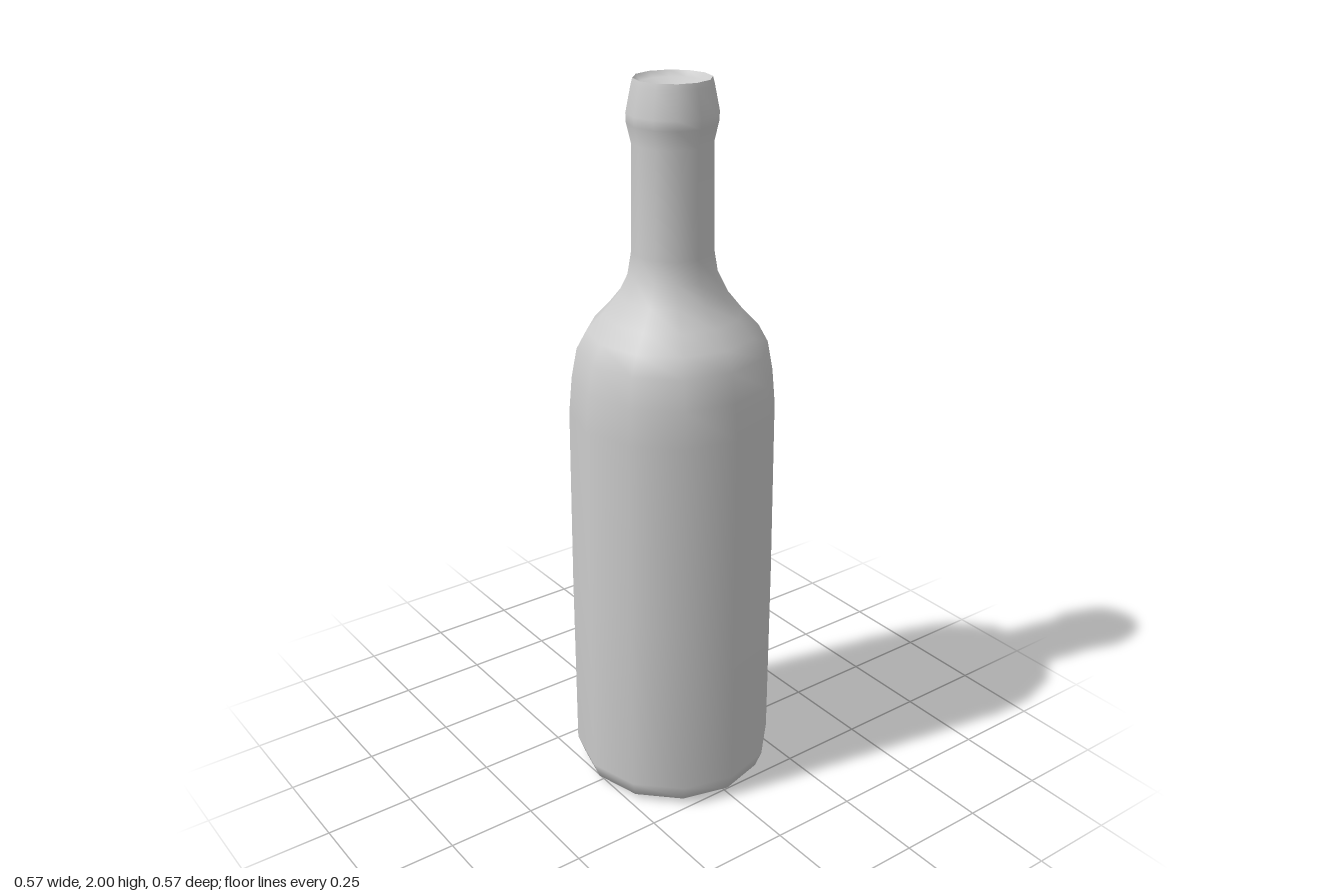
import * as THREE from 'three';

const SIDES = 12;

// Revolves a [radius, height] profile into a named twelve-sided mesh
function turned(name, profile) {
  const points = profile.map(([r, y]) => new THREE.Vector2(r, y));
  const material = new THREE.MeshStandardMaterial({ color: 0xcccccc });
  const mesh = new THREE.Mesh(new THREE.LatheGeometry(points, SIDES), material);
  mesh.name = name;
  return mesh;
}

export function createModel() {
  const bottle = new THREE.Group();
  bottle.name = 'bottle';

  // Slightly hollowed underside
  bottle.add(turned('base', [[0, 0.015], [0.23, 0.005]]));

  // Rounded heel, straight wall and shoulder, up into the neck and lip
  bottle.add(turned('body', [
    [0.23, 0.005], [0.265, 0.022], [0.283, 0.07], [0.283, 0.6], [0.279, 1.12],
    [0.27, 1.22], [0.255, 1.3], [0.228, 1.35], [0.185, 1.395], [0.145, 1.445],
    [0.118, 1.5], [0.108, 1.56], [0.105, 1.84], [0.117, 1.89], [0.118, 1.915],
    [0.104, 1.985], [0.1, 2],
  ]));

  // Shallow dished mouth inside the rim
  bottle.add(turned('mouth', [[0.1, 2], [0.088, 1.985], [0, 1.965]]));

  return bottle;
}
